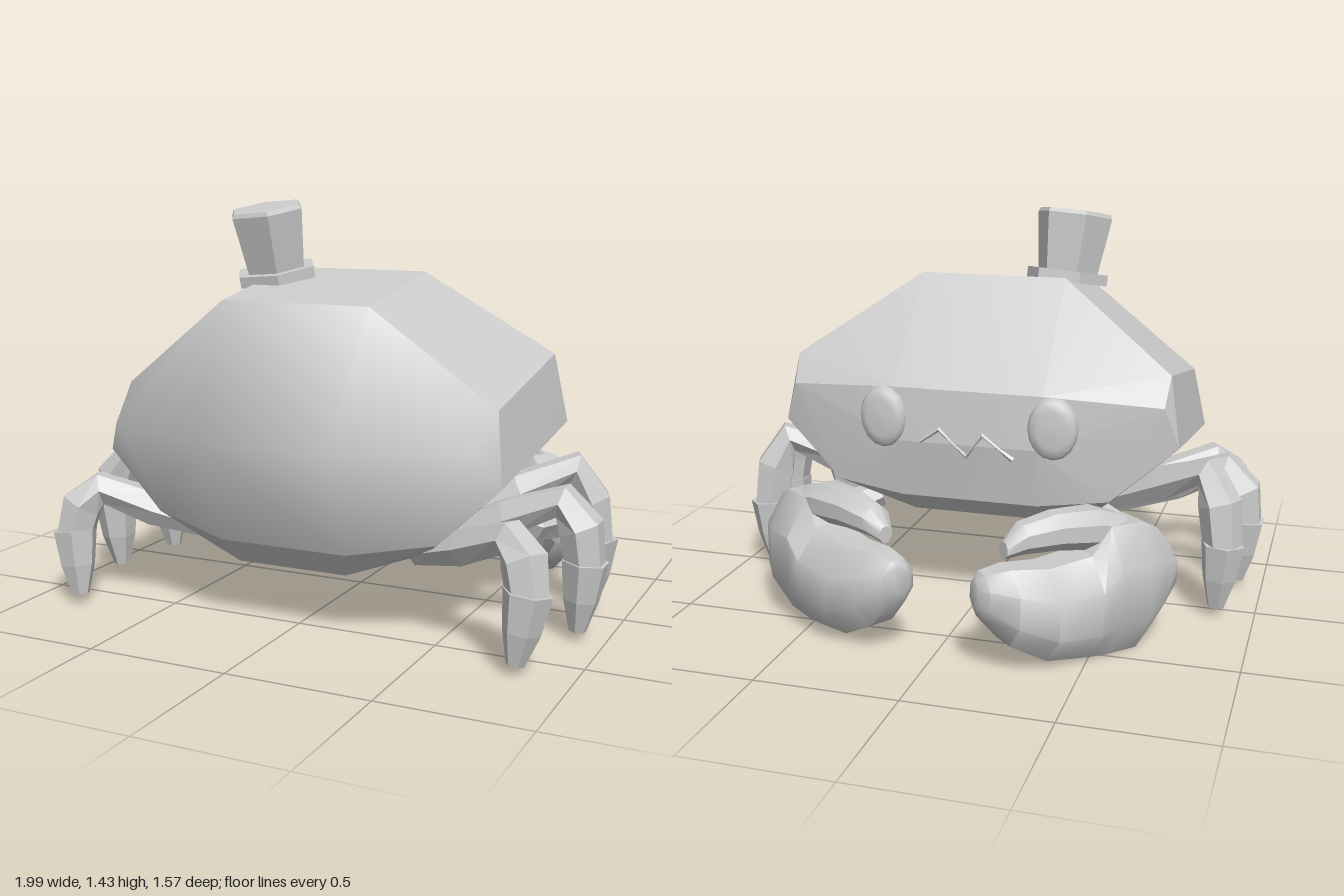
import * as THREE from 'three';
import { toCreasedNormals } from 'three/addons/utils/BufferGeometryUtils.js';
import { ConvexGeometry } from 'three/addons/geometries/ConvexGeometry.js';

const smooth = new THREE.MeshStandardMaterial({ color: 0xcccccc });
const flat = new THREE.MeshStandardMaterial({ color: 0xcccccc, flatShading: true });
const V = (x, y, z) => new THREE.Vector3(x, y, z);

function add(parent, name, geometry, material = flat) {
  const mesh = new THREE.Mesh(geometry, material);
  mesh.name = name;
  parent.add(mesh);
  return mesh;
}

// Closed skin over rings of points; each ring turns right-handed about the path
function skin(rings) {
  const n = rings[0].length, last = (rings.length - 1) * n, idx = [];
  for (let i = 0; i < last; i += n) {
    for (let j = 0; j < n; j++) {
      const k = (j + 1) % n;
      idx.push(i + j, i + k, i + n + j, i + k, i + n + k, i + n + j);
    }
  }
  for (let j = 1; j < n - 1; j++) idx.push(0, j + 1, j, last, last + j, last + j + 1);
  return new THREE.BufferGeometry().setFromPoints(rings.flat()).setIndex(idx);
}

// Smooth loft along x through oval sections [x, bottom, top, halfWidth, sideOffset]
function loft(sections, side, n = 8) {
  const rings = sections.map(([x, lo, hi, w, c]) => Array.from({ length: n }, (_, j) => {
    const a = ((j + 0.5) / n) * Math.PI * 2;
    return V(x, (lo + hi) / 2 + (hi - lo) * 0.54 * Math.cos(a), side * c + w * 1.08 * Math.sin(a));
  }));
  return toCreasedNormals(skin(rings), 0.7);
}

// Faceted limb with mitred joints along a path
function limb(parent, name, pts, radii, n = 6) {
  const across = V(0, 1, 0).cross(pts[pts.length - 1].clone().sub(pts[0])).normalize();
  const rings = pts.map((p, i) => {
    const before = p.clone().sub(pts[Math.max(i - 1, 0)]).normalize();
    const after = pts[Math.min(i + 1, pts.length - 1)].clone().sub(p).normalize();
    const t = before.add(after).normalize();
    const u = across.clone().addScaledVector(t, -across.dot(t)).normalize();
    const v = t.clone().cross(u);
    return Array.from({ length: n }, (_, j) => {
      const a = (j / n) * Math.PI * 2;
      return p.clone().addScaledVector(u, radii[i] * Math.cos(a)).addScaledVector(v, radii[i] * Math.sin(a));
    });
  });
  const geometry = skin(rings);
  geometry.computeVertexNormals();
  add(parent, name, geometry);
}

// Faceted shell, with the bulging +z end smoothed
function buildShell(parent) {
  const half = [
    [0.27, 1.19, 0.05], [0.27, 1.11, 0.52],
    [0.69, 0.90, -0.14], [0.69, 0.795, 0.46],
    [0.73, 0.655, -0.18], [0.73, 0.56, 0.53],
    [0.27, 0.83, -0.28], [0.68, 0.80, -0.21],
    [0.25, 0.64, -0.297], [0.25, 0.43, -0.265], [0.50, 0.46, -0.24],
    [0.24, 0.675, 0.775], [0.66, 0.67, 0.60],
    [0.23, 0.31, 0.62], [0.52, 0.36, 0.55],
    [0.20, 0.22, 0.55], [0.44, 0.29, 0.42], [0.40, 0.33, 0], [0.22, 0.36, -0.2],
  ];
  const hull = new ConvexGeometry(half.flatMap(([x, y, z]) => [V(x, y, z), V(-x, y, z)]));
  const p = hull.attributes.position, n = hull.attributes.normal;
  const bulge = [], rest = [];
  for (let i = 0; i < p.count; i++) {
    (n.getZ(i) > 0.38 && n.getY(i) > -0.55 ? bulge : rest).push(p.getX(i), p.getY(i), p.getZ(i));
  }
  [[bulge, 'shellBulge', 1.1], [rest, 'shell', 0.2]].forEach(([list, name, crease]) => {
    const g = new THREE.BufferGeometry();
    g.setAttribute('position', new THREE.Float32BufferAttribute(list, 3));
    add(parent, name, toCreasedNormals(g, crease), smooth);
  });
}

// Tilted six-sided hat
function buildHat(parent) {
  const hat = new THREE.Group();
  hat.name = 'hat';
  const brim = add(hat, 'hatBrim', new THREE.CylinderGeometry(0.152, 0.152, 0.04, 6));
  const crown = add(hat, 'hatCrown', new THREE.CylinderGeometry(0.14, 0.112, 0.21, 6));
  const rim = add(hat, 'hatTop', new THREE.CylinderGeometry(0.132, 0.14, 0.015, 6));
  brim.rotation.y = crown.rotation.y = rim.rotation.y = Math.PI / 6;
  crown.position.y = 0.12;
  rim.position.y = 0.232;
  hat.position.set(-0.243, 1.176, 0.187);
  hat.rotation.set(0.17, 0, 0.08);
  parent.add(hat);
}

// Button eyes and zigzag mouth on the -z face
function buildFace(parent) {
  const profile = [[1, -0.025], [1, 0], [0.88, 0.016], [0.6, 0.024], [0.001, 0.026]];
  const disc = new THREE.LatheGeometry(profile.map(([r, y]) => new THREE.Vector2(r, y)), 16);
  disc.rotateX(-Math.PI / 2);
  for (const s of [-1, 1]) {
    const eye = add(parent, 'eye', disc, smooth);
    eye.scale.set(0.088, 0.11, 1);
    eye.position.set(s * 0.31, 0.72, -0.289);
    eye.rotation.y = s * -0.1;
  }
  const zig = [[0.17, 0.64], [0.1, 0.69], [0, 0.6], [-0.06, 0.68], [-0.17, 0.6]];
  limb(parent, 'mouth', zig.map(([x, y]) => V(x, y, -0.291)), zig.map(() => 0.011), 4);
}

// Three legs on each side: thigh and shin in one bent piece, then a pointed foot
function buildLegs(parent) {
  const legs = {
    frontLeg: {
      upper: [[0.42, 0.35, 0.13], [0.64, 0.45, 0.07], [0.81, 0.53, 0], [0.86, 0.42, -0.025], [0.878, 0.26, -0.045]],
      toe: [0.862, 0.04, -0.05],
    },
    middleLeg: {
      upper: [[0.42, 0.30, 0.25], [0.66, 0.40, 0.25], [0.845, 0.475, 0.25], [0.91, 0.39, 0.25], [0.926, 0.26, 0.25]],
      toe: [0.905, 0.04, 0.25],
    },
    backLeg: {
      upper: [[0.40, 0.29, 0.42], [0.59, 0.35, 0.48], [0.765, 0.42, 0.555], [0.825, 0.36, 0.59], [0.845, 0.25, 0.61]],
      toe: [0.815, 0.04, 0.63],
    },
  };
  for (const [name, { upper, toe }] of Object.entries(legs)) {
    for (const s of [-1, 1]) {
      const leg = new THREE.Group();
      leg.name = name;
      const pts = upper.map(([x, y, z]) => V(s * x, y, z));
      const ankle = pts[4], tip = V(s * toe[0], toe[1], toe[2]);
      limb(leg, name + 'Upper', pts, [0.045, 0.068, 0.062, 0.078, 0.068]);
      limb(leg, name + 'Foot', [ankle.clone().add(V(0, 0.02, 0)), ankle.clone().lerp(tip, 0.5), tip], [0.08, 0.062, 0.03]);
      parent.add(leg);
    }
  }
}

// Heavy pincers: fixed jaw with palm, and a slimmer upper finger
function buildClaws(parent) {
  const jaw = [
    [-0.04, 0.17, 0.34, 0.085, 0.01], [0.04, 0.07, 0.42, 0.115, 0.025], [0.12, 0.01, 0.46, 0.13, 0.04],
    [0.25, 0.01, 0.46, 0.135, 0.045], [0.32, 0.015, 0.37, 0.135, 0.045], [0.48, 0.03, 0.35, 0.125, 0.04],
    [0.61, 0.1, 0.36, 0.1, 0.03], [0.69, 0.19, 0.345, 0.06, 0.015], [0.71, 0.23, 0.32, 0.03, 0.01],
  ];
  const finger = [
    [0.16, 0.34, 0.47, 0.08, 0.02], [0.27, 0.37, 0.51, 0.08, 0.02], [0.42, 0.385, 0.51, 0.068, 0.01],
    [0.54, 0.385, 0.485, 0.052, 0], [0.6, 0.375, 0.43, 0.025, 0],
  ];
  const places = [
    { s: -1, x: -0.65, y: -0.005, z: -0.25, dx: 0.69, dz: -0.73, pitch: 0.03 },
    { s: 1, x: 0.66, y: 0.01, z: -0.29, dx: -0.81, dz: -0.58, pitch: 0 },
  ];
  for (const { s, x, y, z, dx, dz, pitch } of places) {
    const claw = new THREE.Group();
    claw.name = 'claw';
    add(claw, 'clawJaw', loft(jaw, s), smooth);
    add(claw, 'clawFinger', loft(finger, s), smooth);
    claw.position.set(x, y, z);
    claw.rotation.set(0, Math.atan2(-dz, dx), pitch);
    parent.add(claw);
    const arm = [V(s * 0.42, 0.35, -0.04), V(s * 0.62, 0.27, -0.16), V(x, 0.27, z)];
    limb(parent, 'arm', arm, [0.05, 0.065, 0.085]);
  }
}

export function createModel() {
  const model = new THREE.Group();
  model.name = 'crab';
  buildShell(model);
  buildHat(model);
  buildFace(model);
  buildLegs(model);
  buildClaws(model);
  return model;
}
